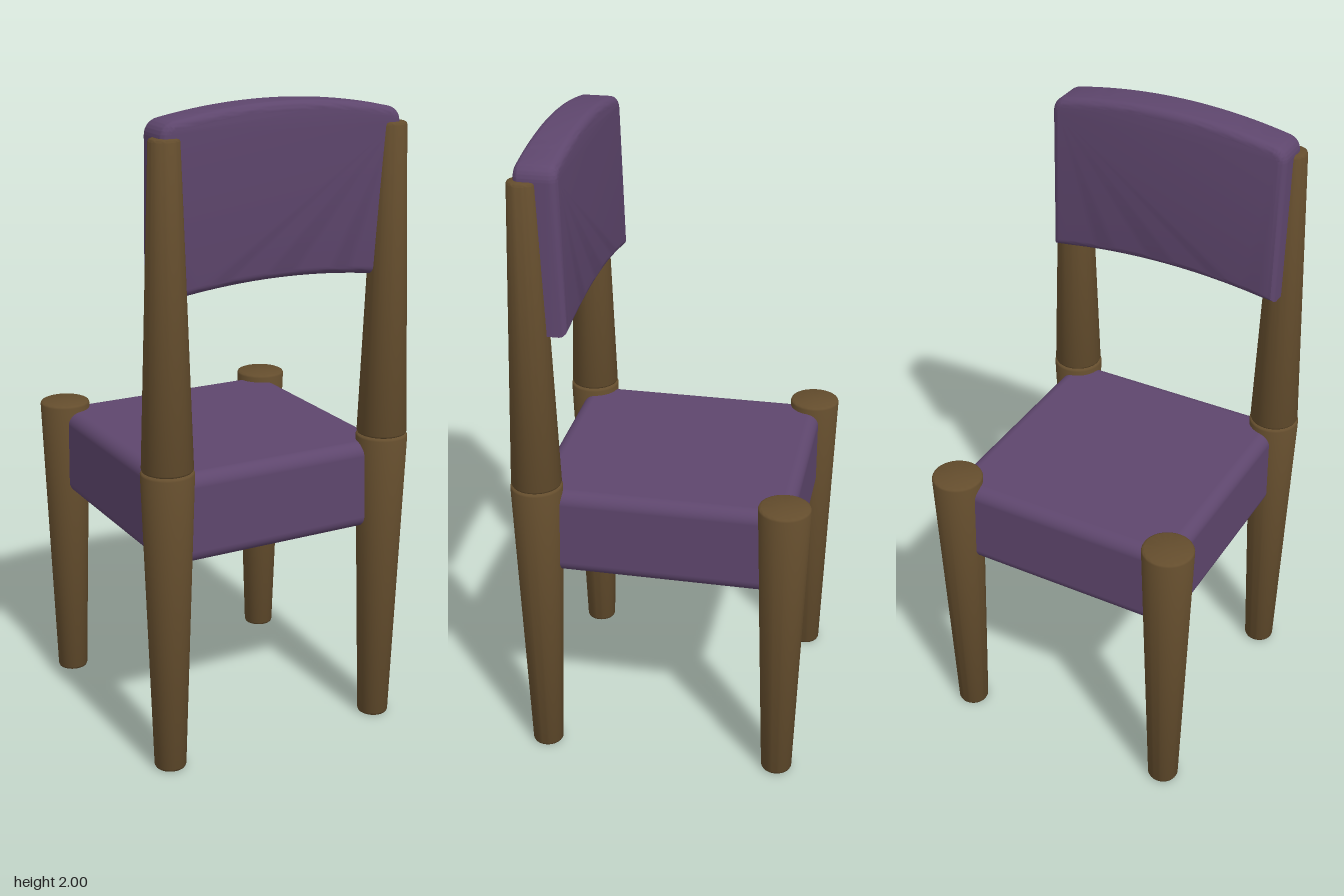
import * as THREE from 'three';
import { mergeVertices, toCreasedNormals } from 'three/addons/utils/BufferGeometryUtils.js';
import { RoundedBoxGeometry } from 'three/addons/geometries/RoundedBoxGeometry.js';

const wood = new THREE.MeshStandardMaterial({ color: 0x644d2d });
wood.name = 'brownWood';
const fabric = new THREE.MeshStandardMaterial({ color: 0x5e466d });
fabric.name = 'purpleFabric';

// Tapered round post with softly eased ends
function postGeometry(y0, y1, r0, r1) {
  const e = 0.008;
  const profile = [
    [0, y0], [r0 - e, y0], [r0 - e * 0.3, y0 + e * 0.3], [r0, y0 + e],
    [r1, y1 - e], [r1 - e * 0.3, y1 - e * 0.3], [r1 - e, y1], [0, y1],
  ].map(([r, y]) => new THREE.Vector2(r, y));
  return toCreasedNormals(new THREE.LatheGeometry(profile, 40), 0.8);
}

// Arched, padded backrest: bevelled extrusion sheared to lean back
function backrestGeometry() {
  const bevel = 0.025, w = 0.39 - bevel, depth = 0.13;
  const top = 1.962 - bevel, bottom = 1.462 + bevel, r = 0.02;
  const s = new THREE.Shape();
  s.moveTo(-w, bottom);
  s.quadraticCurveTo(0, bottom + 0.06, w, bottom);
  s.lineTo(w, top - r);
  s.quadraticCurveTo(w, top, w - r, top + 0.004);
  s.quadraticCurveTo(0, top + 0.072, -w + r, top + 0.004);
  s.quadraticCurveTo(-w, top, -w, top - r);
  let g = new THREE.ExtrudeGeometry(s, {
    depth: depth - 2 * bevel, bevelEnabled: true, bevelThickness: bevel,
    bevelSize: bevel, bevelSegments: 6, curveSegments: 24,
  });
  g.translate(0, 0, 0.262 + bevel);
  const p = g.attributes.position;
  for (let i = 0; i < p.count; i++) {
    p.setZ(i, p.getZ(i) + (p.getY(i) - 1.47) * 0.032);
  }
  g.deleteAttribute('normal');
  g.deleteAttribute('uv');
  g = mergeVertices(g, 1e-4);
  return toCreasedNormals(g, 0.7);
}

export function createModel() {
  const group = new THREE.Group();
  const add = (name, geometry, material, x = 0, y = 0, z = 0) => {
    const m = new THREE.Mesh(geometry, material);
    m.name = name;
    m.position.set(x, y, z);
    group.add(m);
  };

  // Four legs, with tall uprights standing on the +z pair
  const leg = postGeometry(0, 0.963, 0.049, 0.08);
  const upright = postGeometry(0.963, 1.92, 0.077, 0.045);
  for (const [side, x] of [['left', 0.37], ['right', -0.37]]) {
    add(side + 'SeatLeg', leg, wood, x, 0, -0.38);
    add(side + 'BackrestLeg', leg, wood, x, 0, 0.38);
    add(side + 'Upright', upright, wood, x, 0, 0.38);
  }

  // Upholstery
  add('seat', new RoundedBoxGeometry(0.78, 0.28, 0.804, 6, 0.04), fabric, 0, 0.8, 0);
  add('backrest', backrestGeometry(), fabric);
  return group;
}
